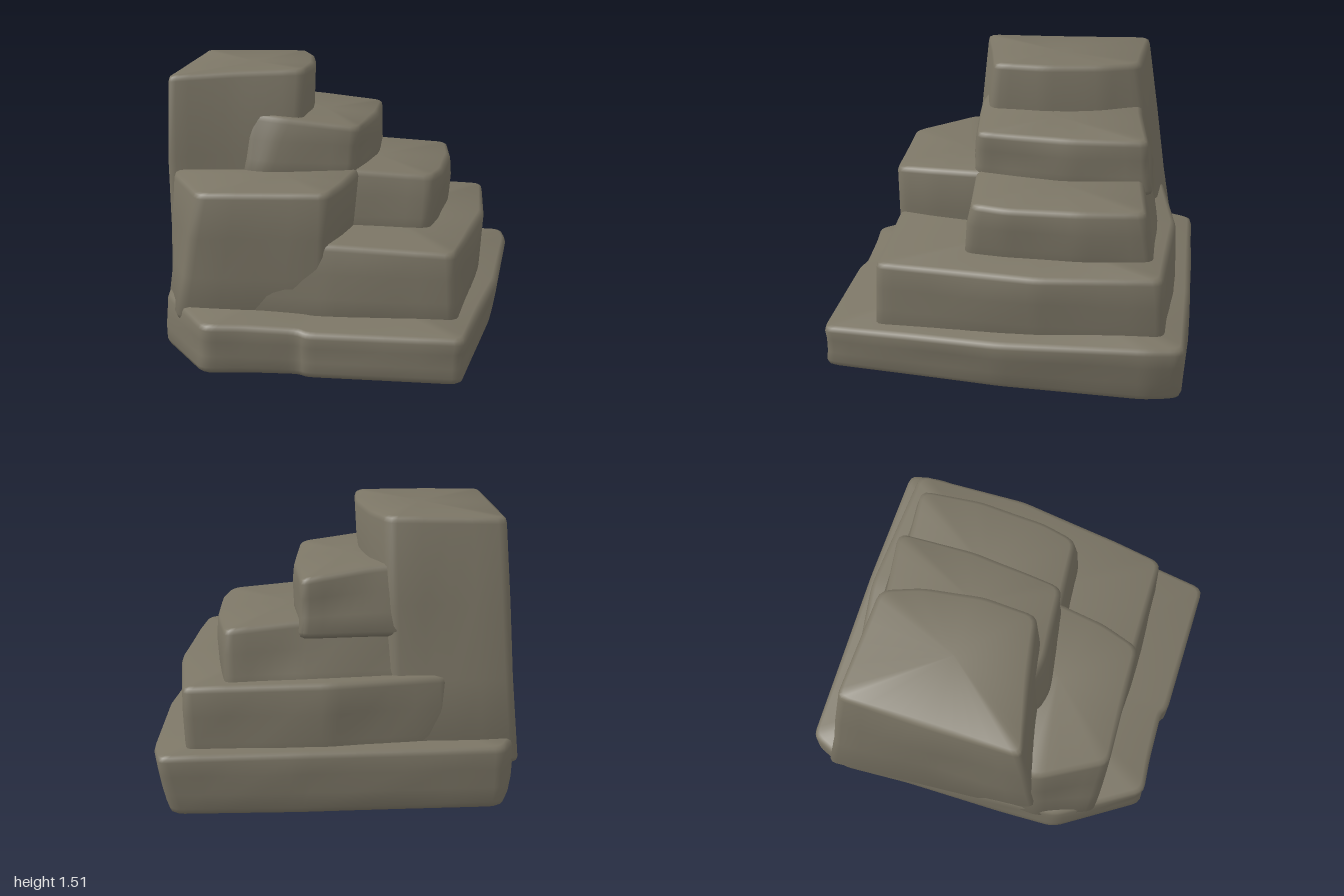
import * as THREE from 'three';
import { toCreasedNormals } from 'three/addons/utils/BufferGeometryUtils.js';

const SUB = 4; // points along each outline edge

// Round the corners of an outline of [x, z, y] points and divide its edges
function outline(pts, r = 0.05) {
  const V = pts.map(([x, z, y]) => new THREE.Vector3(x, y, z));
  const n = V.length, out = [];
  const toward = (a, b) => a.clone().lerp(b, Math.min(0.4, r / a.distanceTo(b)));
  V.forEach((p, i) => {
    const before = toward(p, V[(i + n - 1) % n]);
    const after = toward(p, V[(i + 1) % n]);
    const curve = new THREE.QuadraticBezierCurve3(before, p, after);
    out.push(...curve.getPoints(3));
    const next = V[(i + 1) % n], end = toward(next, p);
    for (let k = 1; k < SUB; k++) out.push(after.clone().lerp(end, k / SUB));
  });
  return out;
}

// Loft a worn stone block between a bottom and a top outline, with soft rims
function block(name, material, top, bottom, y0, wobble = 0.008) {
  const T = outline(top), B = outline(bottom.map(([x, z]) => [x, z, y0]));
  const n = T.length;
  const centre = (ring) => ring.reduce((s, p) => s.add(p), new THREE.Vector3()).divideScalar(n);
  const cT = centre(T), cB = centre(B);
  // [height fraction, drop from that height, inset]
  const rings = [[0, 0, 0.03], [0, -0.012, 0.01], [0, -0.035, 0], [0.35, 0, 0], [0.65, 0, 0],
    [1, 0.035, 0], [1, 0.011, 0.009], [1, 0, 0.032]];
  const pos = [], index = [];
  for (const [f, drop, inset] of rings) {
    for (let i = 0; i < n; i++) {
      const p = B[i].clone().lerp(T[i], f);
      const c = cB.clone().lerp(cT, f);
      const dir = new THREE.Vector3(c.x - p.x, 0, c.z - p.z).normalize();
      const wave = wobble * Math.sin(f * Math.PI) *
        (Math.sin(p.x * 9 + p.y * 7) + Math.sin(p.z * 8 - p.y * 5));
      p.addScaledVector(dir, inset + wave);
      pos.push(p.x, p.y - drop, p.z);
    }
  }
  const last = rings.length - 1, low = rings.length * n, high = low + 1;
  pos.push(cB.x, cB.y, cB.z, cT.x, cT.y, cT.z);
  for (let i = 0; i < n; i++) {
    const j = (i + 1) % n;
    for (let r = 0; r < last; r++) {
      const a = r * n + i, b = r * n + j;
      index.push(b, a, a + n, b, a + n, b + n);
    }
    index.push(low, i, j, high, last * n + j, last * n + i);
  }
  const g = new THREE.BufferGeometry();
  g.setAttribute('position', new THREE.Float32BufferAttribute(pos, 3));
  g.setIndex(index);
  const mesh = new THREE.Mesh(toCreasedNormals(g, 0.9), material);
  mesh.name = name;
  return mesh;
}

export function createModel() {
  const group = new THREE.Group();
  group.name = 'steppedRock';
  const stone = new THREE.MeshStandardMaterial({ color: 0x7b7565 });
  stone.name = 'stone';
  const add = (...args) => group.add(block(args[0], stone, ...args.slice(1)));

  // Outlines run from back left, to back right, front right and front left
  add('baseSlab',
    [[-0.88, -0.98, 0.34], [0.2, -1, 0.34], [0.93, -0.99, 0.33], [0.96, -0.8, 0.33], [0.92, 0, 0.29],
      [0.84, 0.5, 0.27], [0.77, 0.99, 0.25], [-0.05, 0.99, 0.25], [-0.1, 0.96, 0.26],
      [-0.4, 0.97, 0.27], [-0.6, 0.99, 0.27], [-0.9, 0.53, 0.3], [-0.92, 0.2, 0.32],
      [-0.92, -0.4, 0.34], [-0.96, -0.8, 0.34]],
    [[-0.87, -0.98], [0.2, -1], [0.87, -0.98], [0.91, -0.8], [0.88, 0],
      [0.82, 0.5], [0.76, 0.99], [-0.05, 0.99], [-0.1, 0.95],
      [-0.4, 0.96], [-0.61, 0.99], [-0.91, 0.53], [-0.92, 0.2],
      [-0.92, -0.4], [-0.94, -0.8]], 0, 0.005);

  add('lowStep',
    [[-0.6, -0.8, 0.68], [0.03, -0.9, 0.68], [0.8, -0.86, 0.66], [0.83, -0.2, 0.64],
      [0.75, 0.4, 0.63], [0.7, 0.7, 0.62], [0.02, 0.71, 0.65], [-0.6, 0.68, 0.65]],
    [[-0.6, -0.82], [0.03, -0.91], [0.78, -0.88], [0.8, -0.2],
      [0.75, 0.4], [0.72, 0.71], [0.02, 0.74], [-0.6, 0.72]], 0.2);

  add('frontLanding',
    [[-0.86, -0.1, 0.96], [0.14, -0.1, 0.97], [0.14, 0.22, 0.96], [0.1, 0.5, 0.95],
      [0.03, 0.72, 0.93], [-0.67, 0.75, 0.92], [-0.88, 0.4, 0.96]],
    [[-0.88, -0.1], [0.08, -0.1], [0.07, 0.22], [0.04, 0.5],
      [0.01, 0.71], [-0.79, 0.74], [-0.92, 0.42]], 0.2);

  add('middleStep',
    [[-0.5, -0.68, 0.98], [0.2, -0.72, 0.97], [0.58, -0.76, 0.94], [0.62, -0.4, 0.94],
      [0.6, 0, 0.93], [0.55, 0.2, 0.93], [0.1, 0.24, 0.96], [-0.5, 0.24, 0.97]],
    [[-0.5, -0.78], [0.2, -0.83], [0.58, -0.81], [0.6, -0.4],
      [0.57, 0], [0.53, 0.24], [0.1, 0.28], [-0.5, 0.28]], 0.56);

  add('highStep',
    [[-0.5, -0.66, 1.27], [-0.2, -0.68, 1.25], [0.18, -0.74, 1.2], [0.2, -0.3, 1.2],
      [0.17, 0.0, 1.2], [0.14, 0.23, 1.2], [-0.3, 0.27, 1.25], [-0.5, 0.24, 1.27]],
    [[-0.5, -0.74], [-0.2, -0.75], [0.19, -0.77], [0.2, -0.3],
      [0.17, 0.0], [0.12, 0.25], [-0.4, 0.33], [-0.52, 0.3]], 0.88);

  add('tower',
    [[-0.91, -0.68, 1.5], [-0.28, -0.66, 1.51], [-0.2, -0.45, 1.51], [-0.15, -0.12, 1.51],
      [-0.17, 0.18, 1.51], [-0.55, 0.25, 1.5], [-0.92, 0.33, 1.48], [-0.92, -0.2, 1.49]],
    [[-0.98, -0.86], [-0.3, -0.86], [-0.26, -0.45], [-0.25, -0.1],
      [-0.24, 0.3], [-0.55, 0.36], [-0.9, 0.43], [-0.94, -0.2]], 0.2, 0.01);

  return group;
}
